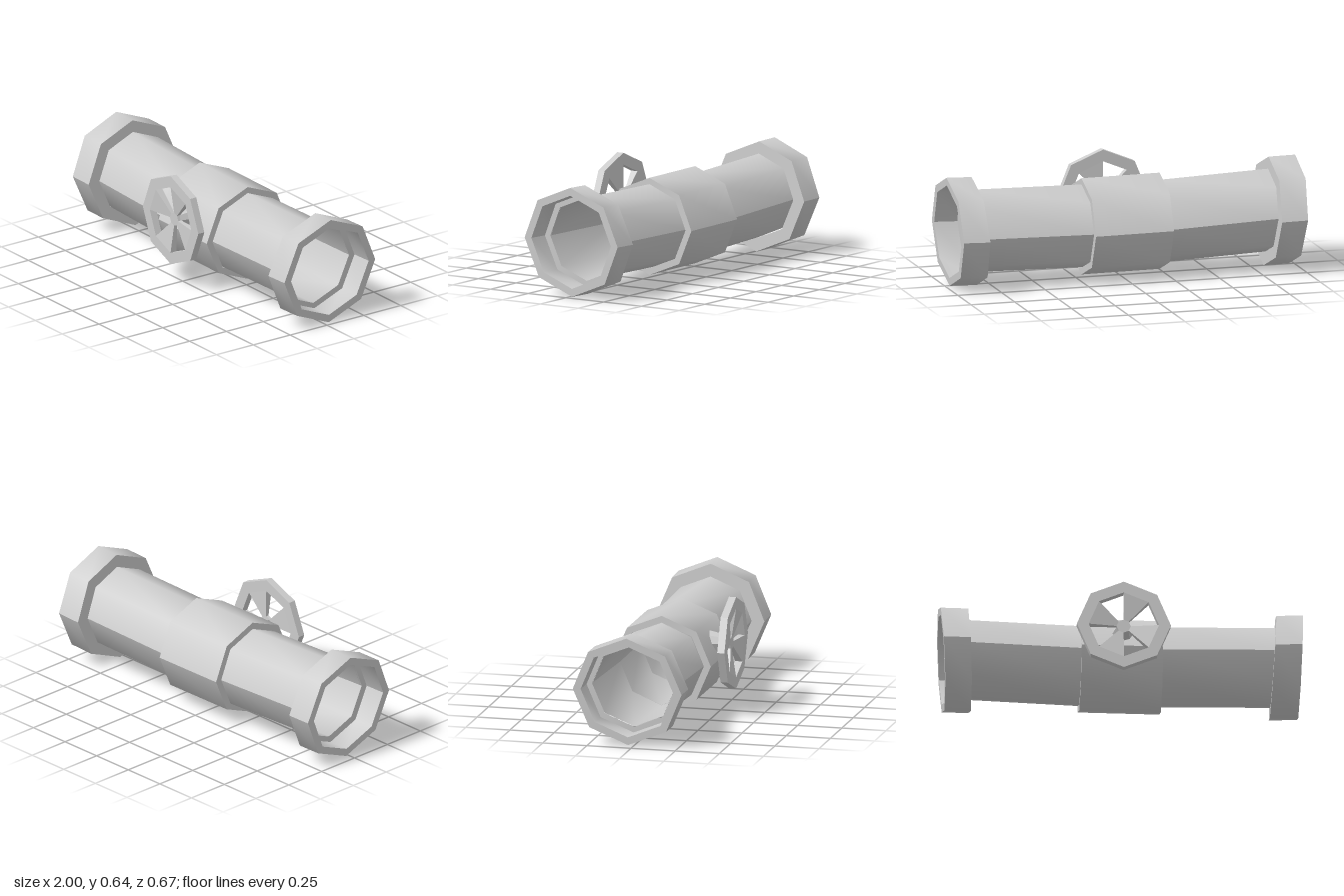
import * as THREE from 'three';
import { mergeGeometries } from 'three/addons/utils/BufferGeometryUtils.js';
import { ConvexGeometry } from 'three/addons/geometries/ConvexGeometry.js';

const AXIS_Z = -0.027;
const grey = new THREE.MeshStandardMaterial({ color: 0xcccccc });
const greyDouble = new THREE.MeshStandardMaterial({ color: 0xcccccc, side: THREE.DoubleSide });

// Octagonal ring around the pipe axis; lean tips its top along x
const ring = (x, y, r, lean = 0, widen = 1.013) => ({ x, y, r, lean, widen });

function ringPoint({ x, y, r, lean, widen }, i) {
  const a = (i * Math.PI) / 4;
  const up = r * Math.sin(a);
  return [x + lean * up, y + up, AXIS_Z + r * widen * Math.cos(a)];
}

// Upper or lower half of the wall between two rings, smooth within the half
function halfBand(a, b, start) {
  const pos = [];
  const index = [];
  for (let i = 0; i <= 4; i++) {
    pos.push(...ringPoint(a, start + i), ...ringPoint(b, start + i));
    if (i < 4) {
      const k = i * 2;
      index.push(k, k + 1, k + 2, k + 1, k + 3, k + 2);
    }
  }
  const g = new THREE.BufferGeometry();
  g.setAttribute('position', new THREE.Float32BufferAttribute(pos, 3));
  g.setIndex(index);
  g.computeVertexNormals();
  return g;
}

// Skin a row of rings, keeping a hard edge at every ring and at front and back
function loft(name, rings) {
  const parts = [];
  for (let i = 0; i < rings.length - 1; i++) {
    for (const start of [0, 4]) parts.push(halfBand(rings[i], rings[i + 1], start));
  }
  const mesh = new THREE.Mesh(mergeGeometries(parts), greyDouble);
  mesh.name = name;
  return mesh;
}

// End flange: outer wall, rim, recessed socket and the step down to the pipe bore
function flange(name, end, back) {
  const mix = (t, r) => ring(
    THREE.MathUtils.lerp(end.x, back.x, t),
    THREE.MathUtils.lerp(end.y, back.y, t), r,
    THREE.MathUtils.lerp(end.lean, back.lean, t));
  const rings = [
    mix(1, 0.232), mix(1, 0.304), mix(0, 0.304),
    mix(0, 0.26), mix(0.88, 0.26), mix(0.88, 0.232),
  ];
  return loft(name, end.x < 0 ? rings.reverse() : rings);
}

const octagon = (r, PathType) => {
  const pts = [];
  for (let i = 0; i < 8; i++) {
    pts.push(new THREE.Vector2(r * Math.cos((i * Math.PI) / 4), r * Math.sin((i * Math.PI) / 4)));
  }
  return new PathType(pts);
};

// Octagonal frustum pointing along z, with corners at top and sides
function frustumZ(name, rFront, rBack, zBack, zFront) {
  const g = new THREE.CylinderGeometry(rFront, rBack, zFront - zBack, 8).toNonIndexed();
  g.rotateX(Math.PI / 2);
  g.translate(0, 0, (zFront + zBack) / 2);
  g.computeVertexNormals();
  const mesh = new THREE.Mesh(g, grey);
  mesh.name = name;
  return mesh;
}

function handWheel() {
  const wheel = new THREE.Group();
  wheel.name = 'handWheel';
  const Z0 = 0.295, Z1 = 0.336, HUB_Z = 0.312, INNER = 0.193, HUB = 0.039;

  // Flat octagonal rim
  const shape = octagon(0.258, THREE.Shape);
  shape.holes.push(octagon(INNER, THREE.Path));
  const rimGeo = new THREE.ExtrudeGeometry(shape, { depth: Z1 - Z0, bevelEnabled: false });
  rimGeo.translate(0, 0, Z0);
  const rim = new THREE.Mesh(rimGeo, grey);
  rim.name = 'wheelRim';
  wheel.add(rim);

  // Four wedge spokes, dished toward the hub and filling every other side
  for (let s = 0; s < 4; s++) {
    const pts = [];
    for (const i of [2 * s + 1, 2 * s + 2]) {
      const a = (i * Math.PI) / 4;
      for (const [r, z] of [[INNER, Z0], [INNER, Z1], [HUB, Z0 - 0.003], [HUB, HUB_Z]]) {
        pts.push(new THREE.Vector3(r * Math.cos(a), r * Math.sin(a), z));
      }
    }
    const spoke = new THREE.Mesh(new ConvexGeometry(pts), grey);
    spoke.name = 'wheelSpoke';
    wheel.add(spoke);
  }

  // Hub and the tapered stem running into the collar
  wheel.add(frustumZ('wheelHub', HUB, HUB, Z0, HUB_Z));
  wheel.add(frustumZ('valveStem', HUB, 0.064, 0.18, Z0));
  wheel.position.set(0.005, 0.387, 0);
  return wheel;
}

export function createModel() {
  const model = new THREE.Group();
  model.name = 'pipeValve';

  // Slightly sagging pipe, open at both ends
  model.add(loft('pipe', [
    ring(-0.84, 0.321, 0.232, -0.05), ring(-0.22, 0.298, 0.232, -0.02, 1.018),
    ring(0.22, 0.3, 0.232, 0, 1.018), ring(0.845, 0.311, 0.232, 0.04),
  ]));

  // Thick collar around the middle
  model.add(loft('collar', [
    ring(-0.222, 0.3, 0.232, 0, 1.03), ring(-0.222, 0.3, 0.27, 0, 1.03),
    ring(0.225, 0.297, 0.27, 0, 1.03), ring(0.225, 0.297, 0.232, 0, 1.03),
  ]));

  model.add(flange('rightFlange', ring(-0.98, 0.318, 0, -0.06), ring(-0.832, 0.316, 0, -0.047)));
  model.add(flange('leftFlange', ring(0.989, 0.315, 0, 0.03), ring(0.839, 0.31, 0, 0.05)));
  model.add(handWheel());
  return model;
}
